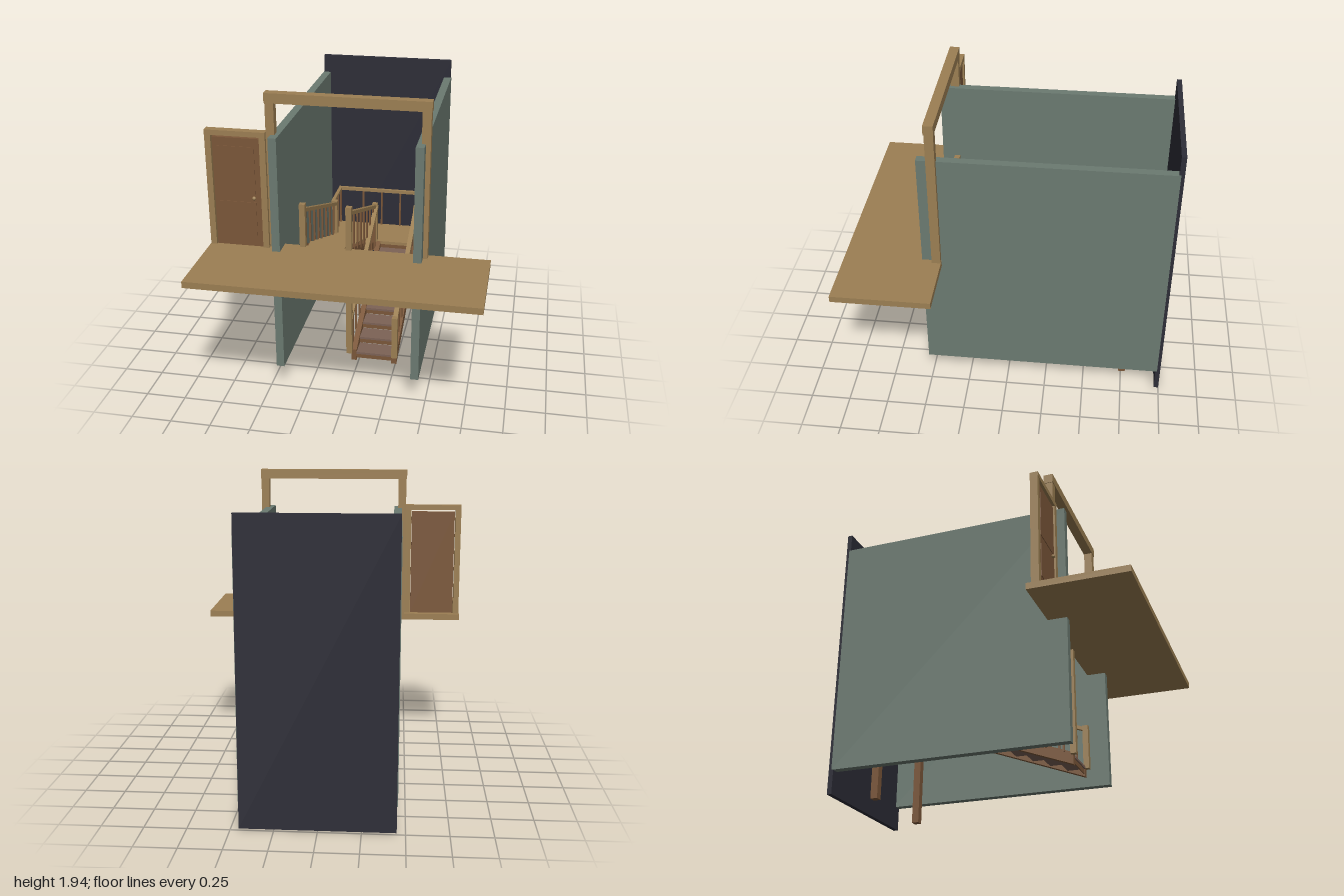
import * as THREE from 'three';

const mat = (name, color) => {
  const m = new THREE.MeshStandardMaterial({ color });
  m.name = name;
  return m;
};

export function createModel() {
  const root = new THREE.Group();
  root.name = 'stairwell';
  const tan = mat('light wood', 0x9c7f53);
  const brown = mat('brown wood', 0x7b5739);
  const mauve = mat('worn tread', 0x7c6256);
  const green = mat('grey green wall', 0x6b7a71);
  const navy = mat('dark wall', 0x2d2d37);

  const add = (name, geometry, material, parent = root) => {
    const mesh = new THREE.Mesh(geometry, material);
    mesh.name = name;
    parent.add(mesh);
    return mesh;
  };
  // Box given by its lower and upper corner
  const box = (name, material, x0, x1, y0, y1, z0, z1, parent) =>
    add(name, new THREE.BoxGeometry(x1 - x0, y1 - y0, z1 - z0)
      .translate((x0 + x1) / 2, (y0 + y1) / 2, (z0 + z1) / 2), material, parent);
  // Bar running along z, sheared so its centre goes from height ya to yb
  const slopedBar = (name, material, x0, x1, h, za, ya, zb, yb, parent) => {
    const g = new THREE.BoxGeometry(x1 - x0, h, zb - za);
    const p = g.attributes.position;
    for (let i = 0; i < p.count; i++) {
      p.setY(i, p.getY(i) + (p.getZ(i) / (zb - za)) * (yb - ya));
    }
    g.translate((x0 + x1) / 2, (ya + yb) / 2, (za + zb) / 2);
    g.computeVertexNormals();
    return add(name, g, material, parent);
  };

  // Walls
  box('backWall', navy, -0.45, 0.45, 0.01, 1.81, -1, -0.97);
  for (const s of [-1, 1]) {
    box('sideWall', green, s * 0.43 - 0.025, s * 0.43 + 0.025, 0.16, 1.69, -0.98, 0.52);
  }

  // Upper floor and opening frame
  box('upperFloor', tan, -0.855, 0.855, 0.93, 0.97, 0.4, 1);
  for (const s of [-1, 1]) {
    box('openingPost', tan, s * 0.457 - 0.026, s * 0.457 + 0.026, 0.96, 1.89, 0.402, 0.456);
  }
  box('openingLintel', tan, -0.487, 0.487, 1.88, 1.94, 0.4, 0.46);

  // Side door in its frame
  const door = new THREE.Group();
  door.name = 'door';
  root.add(door);
  box('doorJamb', tan, -0.852, -0.815, 0.97, 1.705, 0.43, 0.478, door);
  box('doorJamb', tan, -0.52, -0.483, 0.97, 1.705, 0.43, 0.478, door);
  box('doorHead', tan, -0.852, -0.483, 1.675, 1.707, 0.43, 0.48, door);
  box('doorLeaf', brown, -0.81, -0.523, 0.972, 1.662, 0.44, 0.468, door);
  for (const [y0, y1] of [[1.045, 1.26], [1.315, 1.61]]) {
    box('doorPanel', brown, -0.78, -0.555, y0, y1, 0.467, 0.472, door);
  }
  const knob = add('doorKnob', new THREE.SphereGeometry(0.012, 12, 8), tan, door);
  knob.position.set(-0.565, 1.29, 0.476);

  // Half landing on legs
  const landing = new THREE.Group();
  landing.name = 'halfLanding';
  root.add(landing);
  box('landingDeck', tan, -0.315, 0.315, 0.585, 0.607, -0.81, -0.51, landing);
  box('landingJoists', brown, -0.3, 0.3, 0.53, 0.585, -0.8, -0.515, landing);
  for (const s of [-1, 1]) {
    box('landingLeg', brown, s * 0.292 - 0.023, s * 0.292 + 0.023, 0, 0.54, -0.78, -0.735, landing);
    box('landingSideRail', tan, s * 0.304 - 0.011, s * 0.304 + 0.011, 0.863, 0.885, -0.81, -0.52, landing);
    for (const z of [-0.8, -0.71, -0.62]) {
      box('landingBaluster', brown, s * 0.304 - 0.006, s * 0.304 + 0.006, 0.6, 0.87, z - 0.006, z + 0.006, landing);
    }
  }
  box('landingBackRail', tan, -0.315, 0.315, 0.863, 0.885, -0.812, -0.79, landing);
  for (const x of [-0.135, 0, 0.135]) {
    box('landingBaluster', brown, x - 0.006, x + 0.006, 0.6, 0.87, -0.807, -0.795, landing);
  }

  // Two flights of eight open steps; dir is +1 where the flight climbs to the front
  const z0 = -0.51, z1 = 0.4, steps = 8, run = (z1 - z0) / steps;
  const flight = (name, dir, x0, x1, firstTop, rise, treadMat, bottomA, bottomB) => {
    const g = new THREE.Group();
    g.name = name;
    root.add(g);
    for (let i = 0; i < steps; i++) {
      const top = firstTop + dir * rise * i, z = z0 + i * run;
      box('tread', treadMat, x0, x1, top - 0.014, top, z, z + run + 0.004, g);
      const rz = dir > 0 ? z + 0.004 : z + run - 0.01;
      box('riser', brown, x0, x1, top - rise, top - 0.014, rz, rz + 0.006, g);
    }
    for (const [a, b] of [[x0 - 0.034, x0], [x1, x1 + 0.034]]) {
      slopedBar('stringer', brown, a, b, 0.075, z0, bottomA + 0.0375, z1, bottomB + 0.0375, g);
    }
    return g;
  };
  const upper = flight('upperFlight', 1, -0.27, -0.04, 0.648, 0.043, tan, 0.545, 0.89);
  const lower = flight('lowerFlight', -1, 0.042, 0.265, 0.56, 0.0447, mauve, 0.53, 0.185);

  // Sloping handrails with balusters
  const railing = (group, x, railA, railB, footA, footB) => {
    slopedBar('handrail', tan, x - 0.015, x + 0.015, 0.024, -0.52, railA, 0.41, railB, group);
    for (let i = 0; i < steps; i++) {
      const t = (i + 0.5) / steps, z = z0 + t * (z1 - z0);
      const y0 = THREE.MathUtils.lerp(footA, footB, t);
      const y1 = THREE.MathUtils.lerp(railA, railB, t);
      box('baluster', brown, x - 0.006, x + 0.006, y0, y1, z - 0.006, z + 0.006, group);
    }
  };
  railing(upper, -0.286, 0.865, 1.21, 0.6, 0.95);
  railing(upper, -0.006, 0.865, 1.21, 0.6, 0.95);
  railing(lower, 0.006, 0.865, 0.5, 0.59, 0.245);
  railing(lower, 0.286, 0.865, 0.5, 0.59, 0.245);

  // Newel posts: x, bottom, top, z
  const newels = [
    [-0.287, 0.9, 1.25, 0.408], [-0.002, 0.245, 1.25, 0.408], [0.287, 0.24, 0.525, 0.408],
    [-0.287, 0.55, 0.89, -0.522], [-0.002, 0.55, 0.89, -0.522], [0.287, 0.55, 0.89, -0.522],
  ];
  for (const [x, y0, y1, z] of newels) {
    box('newelPost', tan, x - 0.018, x + 0.018, y0, y1, z - 0.018, z + 0.018);
  }

  return root;
}
